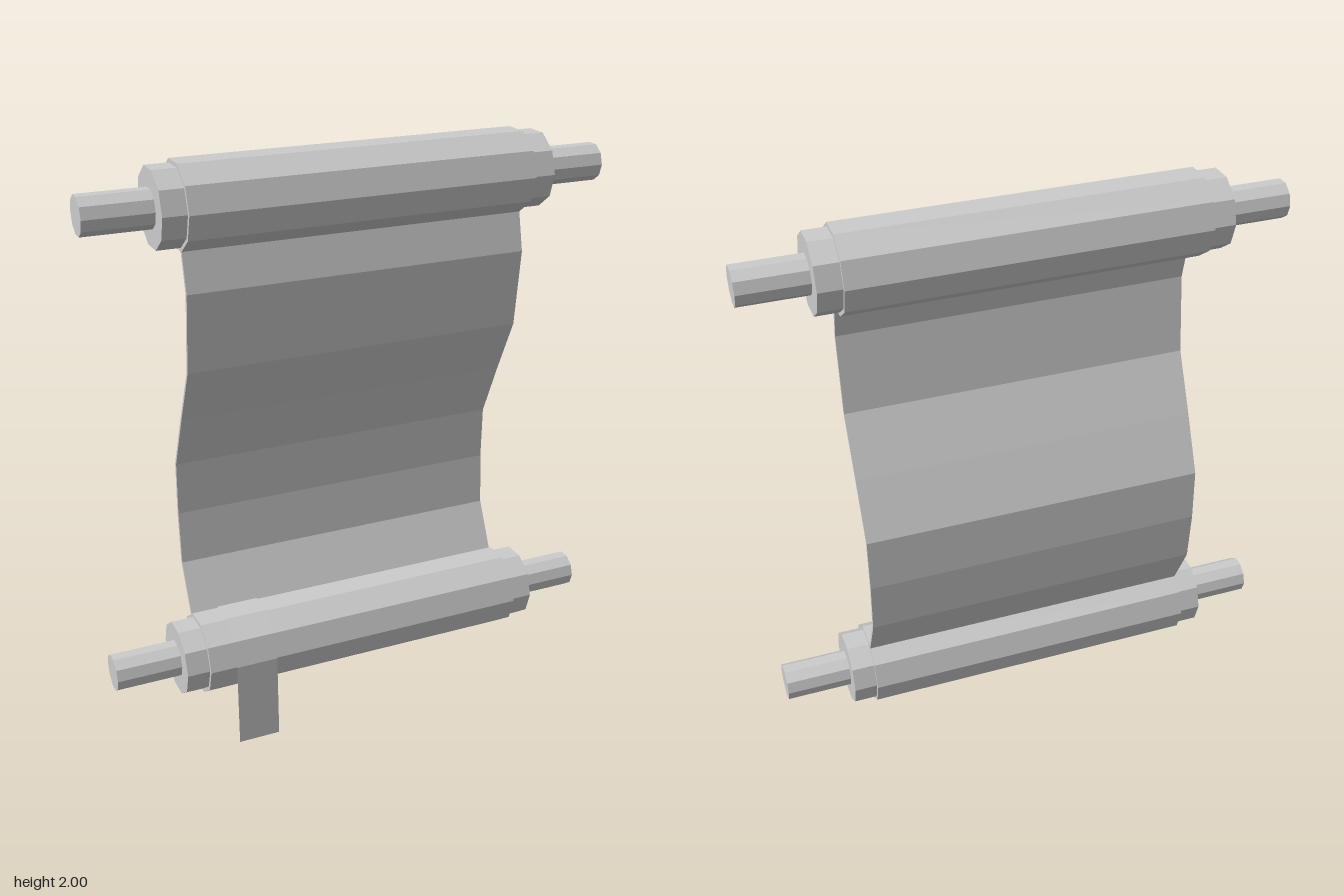
import * as THREE from 'three';

const AXIS_Z = 0.008, TOP_Y = 1.867, LOW_Y = 0.302, SIDES = 10;
const material = new THREE.MeshStandardMaterial({ color: 0xcccccc, flatShading: true });
const thinMaterial = new THREE.MeshStandardMaterial({ color: 0xcccccc, flatShading: true, side: THREE.DoubleSide });

function addMesh(parent, name, geometry, mat = material) {
  const mesh = new THREE.Mesh(geometry, mat);
  mesh.name = name;
  parent.add(mesh);
  return mesh;
}

// Ten-sided bar lying along x
function bar(radius, length) {
  return new THREE.CylinderGeometry(radius, radius, length, SIDES).rotateZ(Math.PI / 2);
}

// Rolled paper with a collar and a handle at each end
function createRoller(name, y) {
  const roller = new THREE.Group();
  roller.name = name;
  roller.position.set(0, y, AXIS_Z);
  addMesh(roller, 'paperRoll', bar(0.14, 1.165));
  for (const [side, s] of [['left', 1], ['right', -1]]) {
    addMesh(roller, side + 'Collar', bar(0.127, 0.08)).position.x = s * 0.62;
    addMesh(roller, side + 'Handle', bar(0.063, 0.225)).position.x = s * 0.77;
  }
  return roller;
}

// Wavy sheet: a thin profile in z and y, extruded across x
function createSheet() {
  const path = [
    [0.02, 1.85], [0.048, 1.735], [0.077, 1.608], [0.045, 1.343], [-0.05, 1.147],
    [-0.138, 0.955], [-0.143, 0.77], [-0.13, 0.588], [-0.053, 0.43], [-0.01, 0.34],
  ];
  const half = 0.0055, width = 1.165;
  const outline = [
    ...path.map(([z, y]) => new THREE.Vector2(z + half, y)),
    ...path.slice().reverse().map(([z, y]) => new THREE.Vector2(z - half, y)),
  ];
  return new THREE.ExtrudeGeometry(new THREE.Shape(outline), { depth: width, bevelEnabled: false })
    .translate(0, 0, -width / 2)
    .rotateY(-Math.PI / 2);
}

// Flat ribbon that follows the lower roll over its top, then hangs straight down
function createRibbon() {
  const path = [108, 72, 36, 0].map((deg) => {
    const a = THREE.MathUtils.degToRad(deg);
    return [AXIS_Z + 0.144 * Math.cos(a), LOW_Y + 0.144 * Math.sin(a)];
  });
  path.push([AXIS_Z + 0.144, 0]);
  const geometry = new THREE.PlaneGeometry(0.145, 1, 1, path.length - 1);
  const pos = geometry.attributes.position;
  for (let i = 0; i < pos.count; i++) {
    const [z, y] = path[Math.floor(i / 2)];
    pos.setXYZ(i, pos.getX(i) - 0.42, y, z);
  }
  geometry.computeVertexNormals();
  return geometry;
}

export function createModel() {
  const model = new THREE.Group();
  model.name = 'scroll';
  model.add(createRoller('upperRoller', TOP_Y), createRoller('lowerRoller', LOW_Y));
  addMesh(model, 'paperSheet', createSheet());
  addMesh(model, 'ribbon', createRibbon(), thinMaterial);
  return model;
}
